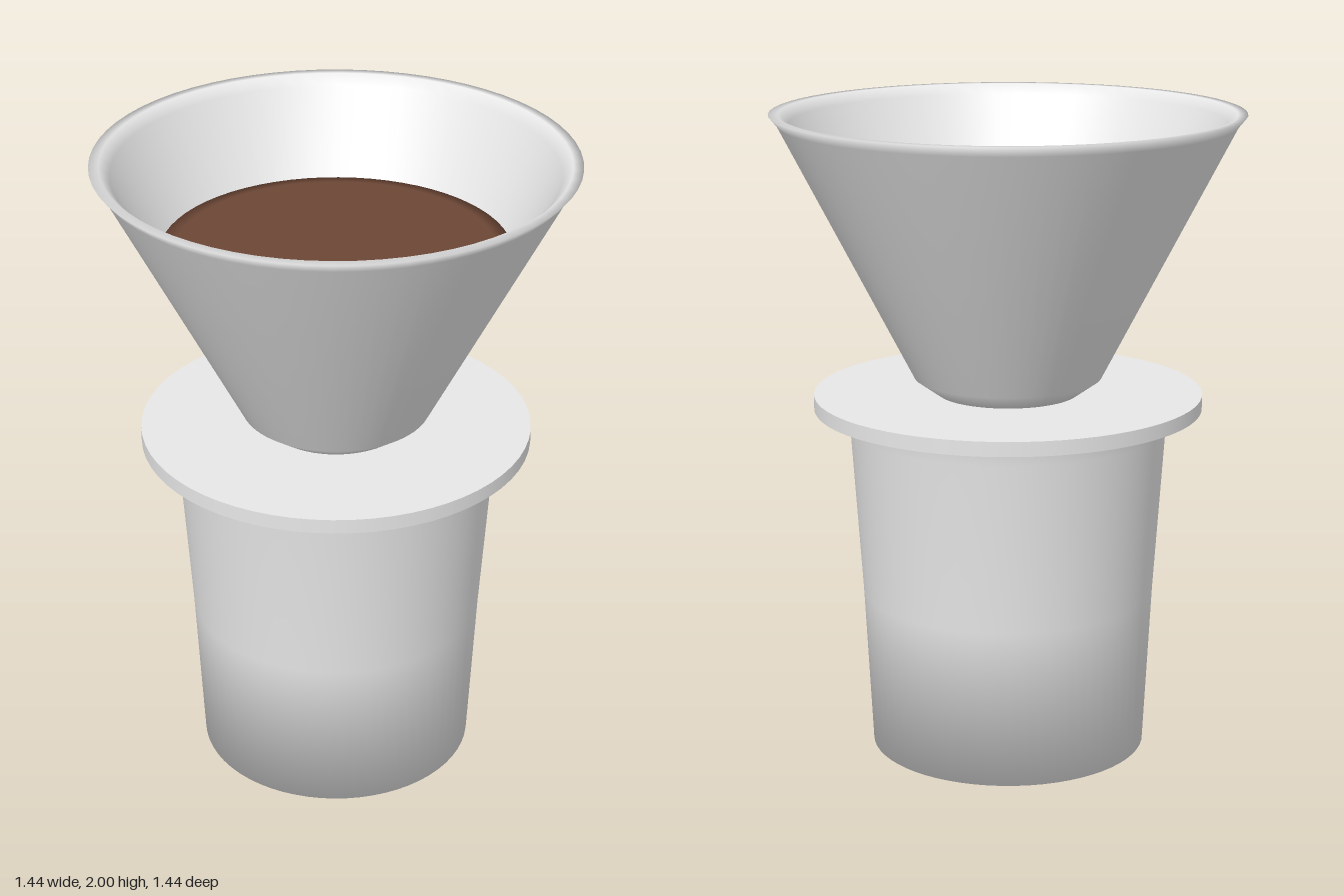
import * as THREE from 'three';

const ceramic = new THREE.MeshStandardMaterial({ color: 0xf4f4f4 });
ceramic.name = 'white ceramic';
const coffeeBrown = new THREE.MeshStandardMaterial({ color: 0x6b4635 });
coffeeBrown.name = 'coffee brown';

// Smooth turned part from [radius, height] pairs, listed from the underside outwards and up
function turned(name, profile, material) {
  const points = profile.map(([r, y]) => new THREE.Vector2(r, y));
  const mesh = new THREE.Mesh(new THREE.LatheGeometry(points, 64), material);
  mesh.name = name;
  return mesh;
}

export function createModel() {
  const model = new THREE.Group();
  model.name = 'pourOverCoffeeMaker';

  // Tapered cup with a flared lip under the plate
  model.add(turned('cup', [[0, 0], [0.43, 0], [0.455, 0.5], [0.49, 1.03], [0.505, 1.1]], ceramic));

  // Flat round plate resting on the cup
  const plate = new THREE.Mesh(new THREE.CylinderGeometry(0.6, 0.6, 0.045, 64), ceramic);
  plate.name = 'plate';
  plate.position.y = 1.1125;
  model.add(plate);

  // Hollow cone: chamfered foot, outer wall, rim, inner wall, floor
  model.add(turned('dripper', [
    [0, 1.135], [0.22, 1.135], [0.29, 1.185], [0.695, 1.97], [0.72, 2],
    [0.69, 2], [0.66, 1.97], [0.25, 1.2], [0, 1.2],
  ], ceramic));

  // Coffee filling the cone, slightly rounded at its edge
  model.add(turned('coffee', [[0.5, 1.665], [0.529, 1.715], [0.48, 1.72], [0, 1.72]], coffeeBrown));

  return model;
}
